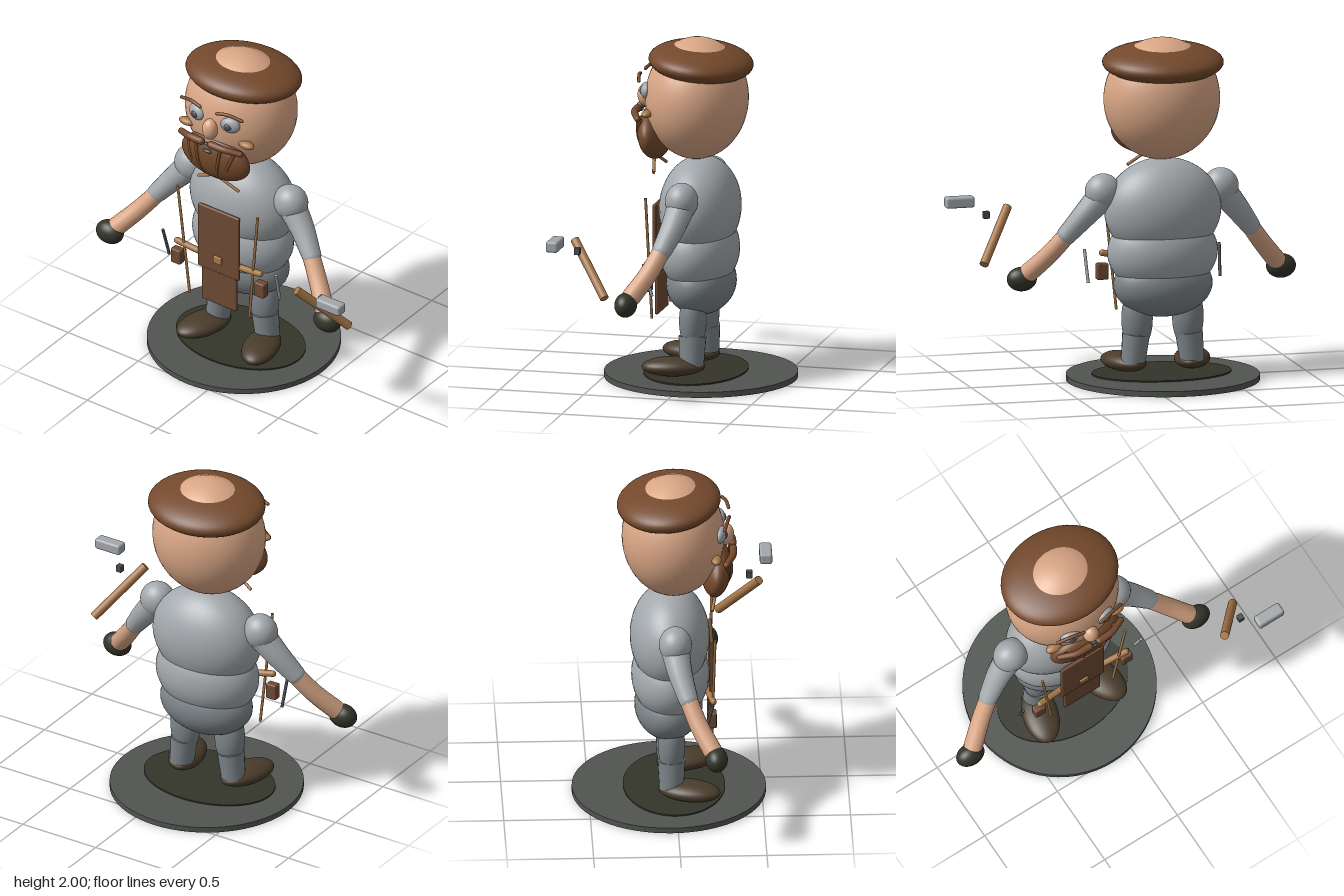
import * as THREE from 'three';
import { RoundedBoxGeometry } from 'three/addons/geometries/RoundedBoxGeometry.js';

export function createModel() {
  const model = new THREE.Group();
  model.name = 'craftsmanFigure';

  const mat = (name, color) => {
    const m = new THREE.MeshStandardMaterial({ color });
    m.name = name;
    return m;
  };
  const shirt = mat('shirtGrey', 0xa3a8ac);
  const trousers = mat('trouserGrey', 0x7d8589);
  const skin = mat('skin', 0xd9a685);
  const hairBrown = mat('hairBrown', 0x74492c);
  const leather = mat('apronLeather', 0x6d4a32);
  const boot = mat('bootBrown', 0x4a3c2b);
  const glove = mat('gloveDark', 0x33342a);
  const stone = mat('baseGrey', 0x50544f);
  const wood = mat('woodTan', 0xa87849);
  const iron = mat('ironGrey', 0x4b5052);

  // The figure stands left of the centre; its parts use offsets from its own middle
  const figure = new THREE.Group();
  figure.name = 'figure';
  figure.position.x = -0.137;
  model.add(figure);

  const add = (name, geo, m, p = [0, 0, 0], r = [0, 0, 0], parent = figure) => {
    const mesh = new THREE.Mesh(geo, m);
    mesh.name = name;
    mesh.position.set(...p);
    mesh.rotation.set(...r);
    parent.add(mesh);
    return mesh;
  };
  const ball = (name, m, p, s, r) => add(name, new THREE.SphereGeometry(1, 40, 28).scale(...s), m, p, r);
  const box = (name, m, p, s, bevel = 0.008, r, parent) =>
    add(name, new RoundedBoxGeometry(...s, 2, bevel), m, p, r, parent);
  const vec = (a) => new THREE.Vector3(...a);

  // Capped straight rod between two points
  const rod = (name, m, a, b, ra, rb = ra, parent = figure) => {
    const d = vec(b).sub(vec(a));
    const mesh = add(name, new THREE.CylinderGeometry(rb, ra, d.length(), 20), m, [0, 0, 0], [0, 0, 0], parent);
    mesh.position.copy(vec(a)).addScaledVector(d, 0.5);
    mesh.quaternion.setFromUnitVectors(new THREE.Vector3(0, 1, 0), d.normalize());
    return mesh;
  };

  // Curved tube whose radius changes evenly, with closed ends
  const tube = (name, m, pts, ra, rb = ra) => {
    const curve = new THREE.CatmullRomCurve3(pts.map(vec));
    const n = 20, k = 16;
    const geo = new THREE.TubeGeometry(curve, n, 1, k, false);
    const pos = geo.attributes.position;
    const v = new THREE.Vector3();
    for (let i = 0; i <= n; i++) {
      const c = curve.getPointAt(i / n);
      for (let j = 0; j <= k; j++) {
        const id = i * (k + 1) + j;
        v.fromBufferAttribute(pos, id).sub(c).multiplyScalar(ra + (rb - ra) * i / n).add(c);
        pos.setXYZ(id, v.x, v.y, v.z);
      }
    }
    add(name, geo, m);
    [[pts[0], ra], [pts[pts.length - 1], rb]].forEach(([p, r]) =>
      add(name + 'End', new THREE.SphereGeometry(r, 16, 10), m, p));
  };

  // Round base with a dark oval on it
  add('base', new THREE.CylinderGeometry(0.56, 0.56, 0.033, 64), stone, [0, 0.0165, -0.035]);
  add('groundOval', new THREE.CylinderGeometry(1, 1, 0.008, 64).scale(0.41, 1, 0.295), glove, [0, 0.037, -0.005]);

  // Body
  ball('chest', shirt, [0, 1.0, -0.03], [0.345, 0.3, 0.23]);
  ball('belly', shirt, [0, 0.75, -0.027], [0.325, 0.25, 0.225]);
  ball('hips', trousers, [0, 0.56, -0.037], [0.292, 0.19, 0.197]);

  // Head, fringe of hair with the bald crown showing through, and face
  ball('head', skin, [0, 1.645, -0.01], [0.34, 0.355, 0.297]);
  ball('hairRing', hairBrown, [0, 1.862, -0.035], [0.355, 0.104, 0.301], [-0.1, 0, 0]);
  ball('nose', skin, [0, 1.645, 0.295], [0.047, 0.066, 0.047]);
  ball('beard', hairBrown, [0, 1.425, 0.238], [0.235, 0.148, 0.085], [0.15, 0, 0]);
  ball('mouth', iron, [0, 1.508, 0.325], [0.03, 0.009, 0.012]);
  ball('upperLip', iron, [0, 1.555, 0.322], [0.03, 0.008, 0.012]);

  for (const s of [-1, 1]) {
    // Face details
    ball('eye', shirt, [s * 0.12, 1.7, 0.262], [0.06, 0.048, 0.03], [0, s * 0.25, 0]);
    ball('pupil', iron, [s * 0.119, 1.697, 0.288], [0.024, 0.022, 0.012], [0, s * 0.25, 0]);
    tube('eyebrow', hairBrown,
      [[s * 0.215, 1.775, 0.28], [s * 0.13, 1.794, 0.3], [s * 0.06, 1.785, 0.312]], 0.01);
    ball('cheekTip', wood, [s * 0.212, 1.583, 0.232], [0.052, 0.023, 0.03]);
    tube('moustache', hairBrown,
      [[s * 0.21, 1.548, 0.29], [s * 0.12, 1.567, 0.33], [s * 0.035, 1.57, 0.335]], 0.018, 0.023);
    tube('beardStrand', hairBrown,
      [[s * 0.165, 1.53, 0.285], [s * 0.13, 1.43, 0.305], [s * 0.09, 1.33, 0.272]], 0.01);
    tube('beardStrand', hairBrown,
      [[s * 0.085, 1.53, 0.318], [s * 0.07, 1.43, 0.322], [s * 0.045, 1.33, 0.287]], 0.01);
    rod('collarCord', wood, [s * 0.145, 1.22, 0.21], [s * 0.01, 1.295, 0.24], 0.009);

    // Arm
    ball('shoulder', shirt, [s * 0.352, 1.112, -0.01], [0.105, 0.106, 0.095]);
    tube('sleeve', shirt,
      [[s * 0.365, 1.08, -0.01], [s * 0.455, 0.975, 0.015], [s * 0.55, 0.855, 0.058]], 0.083, 0.057);
    tube('forearm', skin,
      [[s * 0.54, 0.865, 0.054], [s * 0.64, 0.735, 0.115], [s * 0.74, 0.62, 0.19]], 0.052, 0.056);
    ball('glove', glove, [s * 0.775, 0.58, 0.213], [0.088, 0.071, 0.064]);

    // Leg and boot
    ball('thigh', trousers, [s * 0.152, 0.36, -0.025], [0.092, 0.19, 0.078]);
    rod('shin', trousers, [s * 0.178, 0.09, -0.025], [s * 0.158, 0.27, -0.025], 0.07, 0.08);
    ball('boot', boot, [s * 0.205, 0.096, 0.077], [0.105, 0.056, 0.183], [0, s * 0.3, 0]);

    // Apron strap and belt pouch
    rod('apronStrap', wood, [s * 0.213, 0.375, 0.203], [s * 0.285, 1.1, 0.222], 0.008);
    box('pouch', leather, [s * 0.298, 0.603, 0.205], [0.068, 0.095, 0.05]);
    rod('hangingTool', s < 0 ? iron : shirt,
      [s * 0.394, 0.548, 0.155], [s * 0.403, 0.738, 0.205], 0.009);
  }

  // Apron and belt
  box('apronBib', leather, [0, 0.815, 0.207], [0.292, 0.43, 0.022]);
  box('apronSkirt', leather, [0, 0.49, 0.2], [0.246, 0.23, 0.022]);
  tube('belt', wood, [[-0.295, 0.71, 0.212], [-0.15, 0.685, 0.195], [0, 0.675, 0.18],
    [0.15, 0.685, 0.195], [0.295, 0.71, 0.212]], 0.019);
  box('buckle', wood, [0, 0.693, 0.221], [0.056, 0.048, 0.02], 0.005);

  // Floating hammer in pieces
  rod('hammerHandle', wood, [0.845, 0.662, 0.285], [0.64, 0.95, 0.515], 0.026, 0.026, model);
  box('hammerHead', shirt, [0.915, 0.982, 0.562], [0.17, 0.064, 0.072], 0.014, undefined, model);
  box('hammerWedge', iron, [0.782, 0.918, 0.463], [0.036, 0.042, 0.036], 0.004, undefined, model);

  return model;
}
